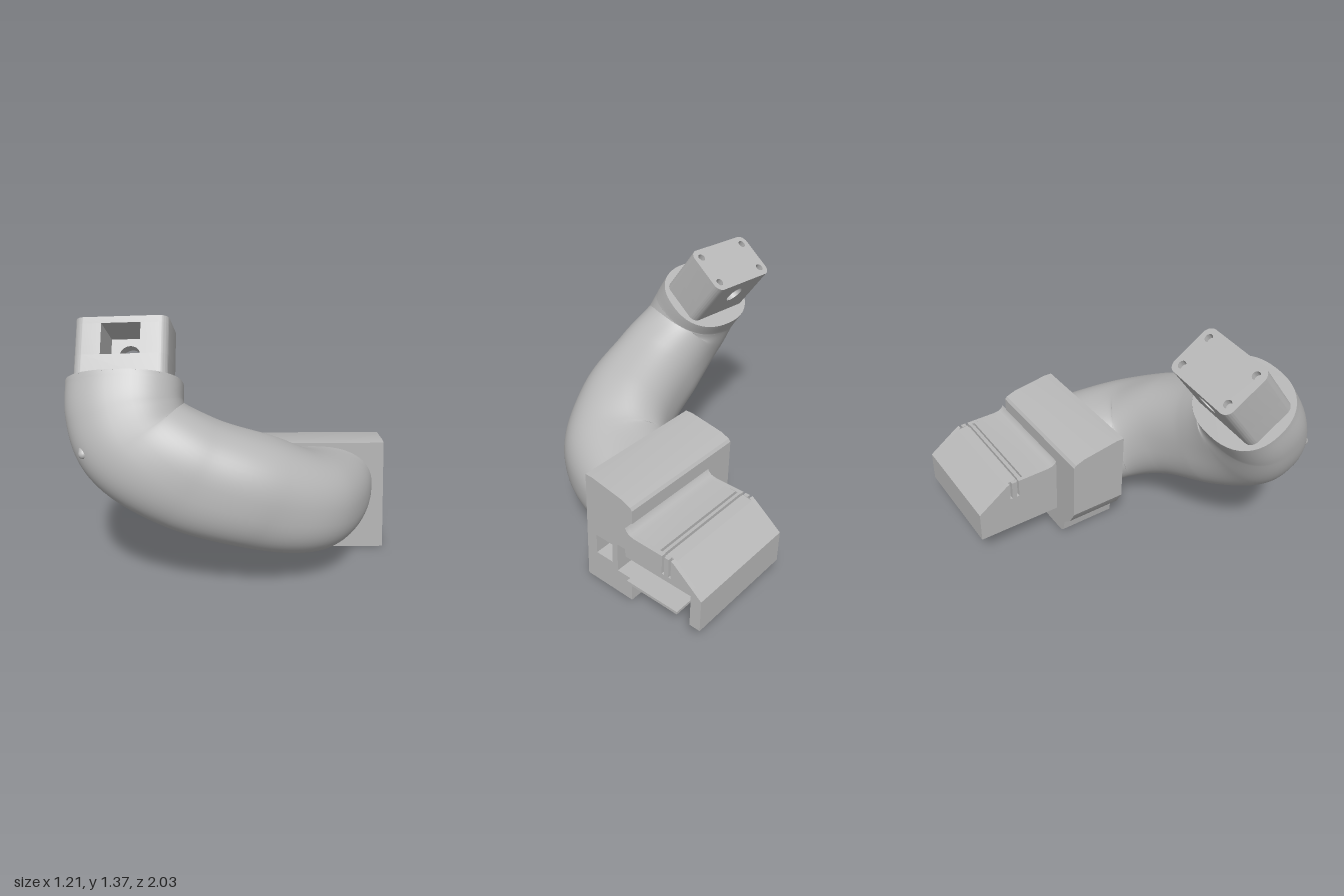
import * as THREE from 'three';
import { toCreasedNormals } from 'three/addons/utils/BufferGeometryUtils.js';

const grey = new THREE.MeshStandardMaterial({ color: 0xb8b8b8 });
grey.name = 'matte grey';

// Placement of the head block: position, then lean, turn and roll
const HEAD = [-0.66, 1.046, 0.341];
const HEAD_TURN = new THREE.Euler(-0.635, -0.085, 0.05, 'YXZ');

function mesh(geometry, name) {
  const m = new THREE.Mesh(geometry, grey);
  m.name = name;
  return m;
}

const polygon = (pts) => new THREE.Shape(pts.map(([x, y]) => new THREE.Vector2(x, y)));

function extrude(shape, depth) {
  return new THREE.ExtrudeGeometry(shape, { depth, bevelEnabled: false, curveSegments: 10 });
}

// Housing parts lean slightly sideways with height
function lean(g) {
  const p = g.attributes.position;
  for (let i = 0; i < p.count; i++) p.setX(i, p.getX(i) - 0.04 * p.getY(i));
  return toCreasedNormals(g, 0.5);
}

// Profile of (z, y) points swept across the width
function acrossWidth(pts, x0, x1) {
  const g = extrude(polygon(pts.map(([z, y]) => [-z, y])), x1 - x0);
  return lean(g.rotateY(Math.PI / 2).translate(x0, 0, 0));
}

// Profile of (x, y) points swept through the depth
function throughDepth(pts, z0, z1) {
  return lean(extrude(polygon(pts), z1 - z0).translate(0, 0, z0));
}

// Flat outline stacked upwards
function upward(shape, y0, y1) {
  return toCreasedNormals(extrude(shape, y1 - y0).rotateX(-Math.PI / 2).translate(0, y0, 0), 0.5);
}

function oval(angle, a, b) {
  const c = Math.cos(angle), s = Math.sin(angle), e = 0.86;
  return [a * Math.sign(c) * Math.abs(c) ** e, b * Math.sign(s) * Math.abs(s) ** e];
}

// Arm knots: centre, direction of the first half-width, both half-widths
const HEAD_SIDE = new THREE.Vector3(0, 0, 1).applyEuler(HEAD_TURN).toArray();
const KNOTS = [
  [[0.265, 0.37, -0.03], [1, 0, 0], 0.335, 0.225],
  [[0.265, 0.37, 0.06], [1, 0, 0], 0.305, 0.232],
  [[0.18, 0.412, 0.275], [0.7, 0, 0.7], 0.29, 0.258],
  [[-0.055, 0.528, 0.415], [0.2, 0, 1], 0.265, 0.275],
  [[-0.366, 0.652, 0.465], [0, 0.1, 1], 0.245, 0.28],
  [[-0.605, 0.81, 0.455], [0, 0.4, 0.9], 0.228, 0.278],
  [[-0.655, 0.935, 0.41], HEAD_SIDE, 0.22, 0.275],
  [HEAD, HEAD_SIDE, 0.22, 0.275],
];
const path = new THREE.CatmullRomCurve3(KNOTS.map((k) => new THREE.Vector3(...k[0])));

function armPoint(t, angle) {
  const f = t * (KNOTS.length - 1);
  const i = Math.min(Math.floor(f), KNOTS.length - 2);
  const [k0, k1] = [KNOTS[i], KNOTS[i + 1]];
  const mix = THREE.MathUtils.lerp;
  const w = THREE.MathUtils.smoothstep(f - i, 0, 1) * 0.5 + (f - i) * 0.5;
  const tangent = t > 0.999 ? new THREE.Vector3(0, 1, 0).applyEuler(HEAD_TURN) : path.getTangent(t);
  const side = new THREE.Vector3(...k0[1]).lerp(new THREE.Vector3(...k1[1]), w);
  side.addScaledVector(tangent, -side.dot(tangent)).normalize();
  const normal = new THREE.Vector3().crossVectors(tangent, side);
  const [a, b] = oval(angle, mix(k0[2], k1[2], w), mix(k0[3], k1[3], w));
  return path.getPoint(t).addScaledVector(side, a).addScaledVector(normal, b);
}

function armGeometry(rings = 84, around = 56) {
  const pos = [], index = [];
  for (let i = 0; i <= rings; i++) {
    for (let j = 0; j < around; j++) {
      pos.push(...armPoint(i / rings, (j / around) * Math.PI * 2).toArray());
      if (i === rings) continue;
      const a = i * around + j, b = i * around + ((j + 1) % around);
      index.push(a, b, a + around, b, b + around, a + around);
    }
  }
  const g = new THREE.BufferGeometry();
  g.setAttribute('position', new THREE.Float32BufferAttribute(pos, 3));
  g.setIndex(index);
  g.computeVertexNormals();
  return g;
}

function buildHousing() {
  const group = new THREE.Group();
  group.name = 'housing';

  // Upper half with sloping roof
  group.add(mesh(acrossWidth(
    [[0.044, 0.3], [0.044, 0.62], [0, 0.62], [-0.2, 0.585], [-0.25, 0.565], [-0.262, 0.55], [-0.262, 0.3]],
    -0.105, 0.655), 'upperHousing'));

  // Lower half: solid front and middle walls, with pockets that open at one end
  const foot = [[0.655, 0], [0.05, 0], [0.025, 0.007], [0.007, 0.025], [0, 0.085],
    [-0.06, 0.14], [-0.105, 0.22], [-0.105, 0.3], [0.655, 0.3]];
  const pocket = (x, y0, y1) => [...foot, [0.655, y1], [x, y1], [x, y0], [0.655, y0]];
  group.add(mesh(throughDepth(foot, -0.02, 0.044), 'lowerFrontWall'));
  group.add(mesh(throughDepth(pocket(0.4, 0.17, 0.28), -0.13, -0.02), 'lowerFrontPocket'));
  group.add(mesh(throughDepth(foot, -0.165, -0.13), 'lowerMiddleWall'));
  group.add(mesh(throughDepth(pocket(0.5, 0.135, 0.299), -0.262, -0.165), 'lowerRearPocket'));

  // Rear cover, hollow underneath, with two grooves along the top
  const groove = (z, y) => [[z, 0.443], [z, y], [z - 0.014, y], [z - 0.014, 0.443]];
  const skin = (z0, z1, y) => [[-0.26, 0.48], [-0.268, 0.465], [-0.285, 0.451], [-0.315, 0.445],
    ...groove(z0, y), ...groove(z1, y), [-0.56, 0.435], [-0.725, 0.31], [-0.725, 0.135]];
  const tips = skin(-0.49, -0.53, 0.34), top = skin(-0.457, -0.487, 0.425);
  const hollow = [[-0.665, 0.135], [-0.665, 0.31]];
  group.add(mesh(acrossWidth([[-0.26, 0.135], ...tips], 0.078, 0.1), 'rearEndWall'));
  group.add(mesh(acrossWidth([[-0.26, 0.31], ...top, ...hollow], 0.1, 0.675), 'rearCover'));
  group.add(mesh(acrossWidth([[-0.26, 0.31], ...tips, ...hollow], 0.675, 0.7), 'rearCoverRim'));

  // Core inside the cover, leaving a pocket at the open end and a slot behind
  const core = (y) => [[-0.26, 0.135], [-0.26, y], [-0.58, y], [-0.58, 0.135]];
  group.add(mesh(acrossWidth(core(0.311), 0.1, 0.5), 'rearCore'));
  group.add(mesh(acrossWidth(core(0.15), 0.5, 0.69), 'rearFloor'));
  return group;
}

function buildHead() {
  const group = new THREE.Group();
  group.name = 'head';
  const hw = 0.22, hd = 0.135, r = 0.045, win = 0.092;
  const sill = 0.105, lintel = 0.258, height = 0.29;

  // Flat collar closing the arm
  const rim = [];
  for (let i = 0; i < 56; i++) {
    const [d, w] = oval((i / 56) * Math.PI * 2, 0.22, 0.275);
    rim.push([w, -d]);
  }
  group.add(mesh(upward(polygon(rim), -0.003, 0.001), 'collar'));

  const block = () => {
    const s = new THREE.Shape();
    s.absarc(hw - r, -hd + r, r, -Math.PI / 2, 0);
    s.absarc(hw - r, hd - r, r, 0, Math.PI / 2);
    s.absarc(-hw + r, hd - r, r, Math.PI / 2, Math.PI);
    s.absarc(-hw + r, -hd + r, r, Math.PI, Math.PI * 1.5);
    return s;
  };
  group.add(mesh(upward(block(), -0.02, sill), 'towerBase'));

  // Top plate with four screw holes
  const plate = block();
  for (const x of [-0.17, 0.17]) {
    for (const y of [-0.085, 0.085]) {
      plate.holes.push(new THREE.Path().absarc(x, y, 0.021, 0, Math.PI * 2, true));
    }
  }
  group.add(mesh(upward(plate, lintel, height), 'towerTop'));

  // Side blocks either side of the window
  const cheek = new THREE.Shape();
  cheek.moveTo(win, hd);
  cheek.lineTo(win, -hd);
  cheek.absarc(hw - r, -hd + r, r, -Math.PI / 2, 0);
  cheek.absarc(hw - r, hd - r, r, 0, Math.PI / 2);
  for (const turn of [0, Math.PI]) {
    const m = mesh(upward(cheek, sill, lintel), turn ? 'towerSideRight' : 'towerSideLeft');
    m.rotation.y = turn;
    group.add(m);
  }

  // Rear wall with a round cable hole
  const wall = polygon([[-win, sill], [win, sill], [win, lintel], [-win, lintel]]);
  wall.holes.push(new THREE.Path().absarc(0, 0.17, 0.052, 0, Math.PI * 2, true));
  group.add(mesh(toCreasedNormals(extrude(wall, 0.06).translate(0, 0, -hd), 0.5), 'towerRearWall'));

  group.position.set(...HEAD);
  group.rotation.copy(HEAD_TURN);
  return group;
}

export function createModel() {
  const model = new THREE.Group();
  model.name = 'angledMount';
  const body = new THREE.Group();
  body.name = 'body';
  body.rotation.y = 0.72;
  body.add(buildHousing(), mesh(armGeometry(), 'arm'), buildHead());

  // Small pill-shaped stud on the arm
  const stud = mesh(new THREE.CapsuleGeometry(0.022, 0.03, 6, 14), 'armStud');
  stud.position.copy(armPoint(0.77, -0.9)).multiplyScalar(0.985);
  stud.rotation.copy(HEAD_TURN);
  body.add(stud);

  model.add(body);
  return model;
}
